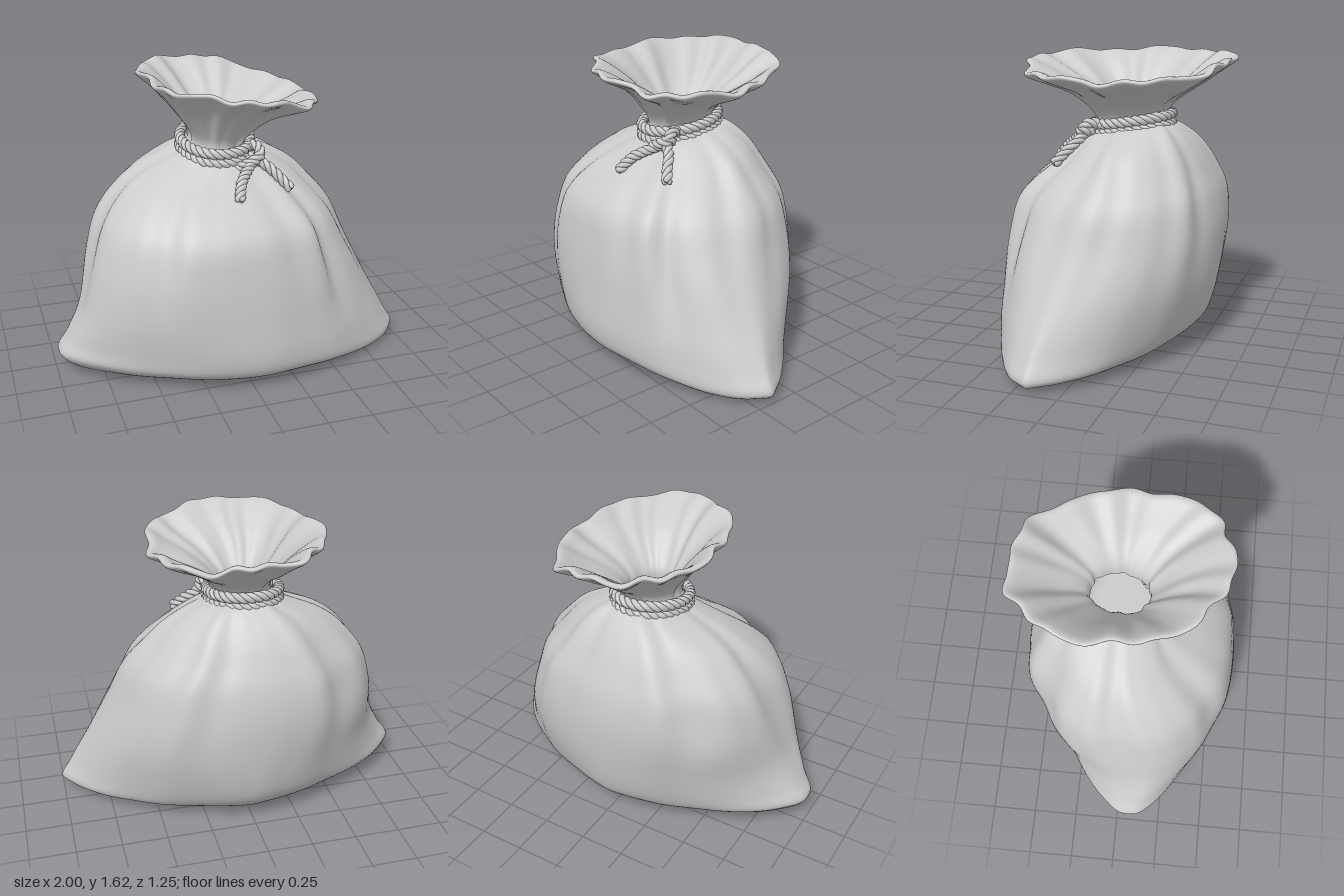
import * as THREE from 'three';

const { smoothstep, lerp } = THREE.MathUtils;
const material = new THREE.MeshStandardMaterial({ color: 0xcccccc, side: THREE.DoubleSide });
const ROUND = 144, ROWS_PER_LEVEL = 5;

// Extents of the cloth from the floor up to the lip: y, x-, x+, z-, z+
const outside = [
  [0.03, -0.01, 0.01, 0.09, 0.13],
  [0.028, -0.48, 0.48, -0.18, 0.36],
  [0.035, -0.86, 0.85, -0.34, 0.50],
  [0.09, -0.995, 0.995, -0.43, 0.595],
  [0.20, -0.94, 0.94, -0.51, 0.63],
  [0.40, -0.85, 0.82, -0.555, 0.62],
  [0.65, -0.78, 0.69, -0.57, 0.59],
  [0.85, -0.71, 0.60, -0.545, 0.54],
  [1.00, -0.60, 0.48, -0.485, 0.40],
  [1.10, -0.47, 0.38, -0.41, 0.28],
  [1.18, -0.28, 0.24, -0.32, 0.19],
  [1.225, -0.19, 0.13, -0.25, 0.14],
  [1.30, -0.19, 0.16, -0.28, 0.15],
  [1.42, -0.27, 0.28, -0.41, 0.26],
  [1.51, -0.35, 0.39, -0.53, 0.40],
  [1.565, -0.42, 0.46, -0.615, 0.505],
  [1.587, -0.42, 0.46, -0.615, 0.505],
];

// The lining runs back down to the neck, a cloth thickness inside
const lining = outside.slice(11, 16).reverse().map(([y, xMin, xMax, zMin, zMax]) =>
  [y + 0.015, xMin + 0.035, xMax - 0.035, zMin + 0.035, zMax - 0.035]);
const levels = [...outside, ...lining];

const bump = (t) => Math.exp(-t * t);

// Irregular pleats gathered around the cloth
function pleats(a, y) {
  return 0.55 * Math.sin(7 * a + 0.8 + y) + 0.45 * Math.sin(13 * a + 2.1 - 0.6 * y)
    + 0.3 * Math.sin(4 * a + 3 * y) + 0.2 * Math.sin(19 * a + 1.3);
}

function sackPoint([y, xMin, xMax, zMin, zMax], a) {
  const c = Math.cos(a), s = Math.sin(a), cx = (xMin + xMax) / 2;
  const low = 1 - smoothstep(y, 0.1, 0.45), mouth = smoothstep(y, 1.3, 1.57);
  // Pointed at the floor, squarer at the belly, round at the neck
  const n = 1.45 + 0.13 * smoothstep(y, 0.03, 0.1) + 0.7 * smoothstep(y, 0.1, 0.7)
    - 0.28 * smoothstep(y, 0.85, 1.1);
  const zEnd = lerp(0.12, -0.05, smoothstep(y, 0.2, 1.1));
  // A deep crease on the front left and one on the back right shoulder
  const crease = 0.06 * bump((a - 0.8) / 0.14) * smoothstep(y, 0.25, 0.6)
    + 0.05 * bump((a - 3.95) / 0.14) * smoothstep(y, 0.5, 0.85);
  const scale = 1 + (0.008 + 0.036 * smoothstep(y, 0.3, 1.1)) * pleats(a, y)
    - crease * (1 - smoothstep(y, 1.0, 1.2));
  const dx = ((c > 0 ? xMax : xMin) - cx) * Math.abs(c) ** (2 / n) * scale;
  const dz = ((s > 0 ? zMax : zMin) - zEnd) * Math.abs(s) ** (2 / n) * scale;
  // The mouth is skewed, and the bottom corners point apart
  const x = cx + dx + 0.1 * mouth * dz;
  const z = zEnd + dz + 0.05 * low * dx;
  // Sideways lean of the corners and the mouth, forward lean of the neck
  const tiltX = -0.035 * smoothstep(y, 0.03, 0.085) * low - 0.12 * mouth;
  const tiltZ = -0.15 * smoothstep(y, 0.95, 1.22) * (1 - smoothstep(y, 1.24, 1.48));
  // The mouth dips at its sides and waves; the floor sags near the front left corner
  const wave = mouth * (0.014 * pleats(a + 0.2, 2) - 0.03 * c * c);
  const sag = 0.028 * (1 - smoothstep(y, 0.05, 0.3)) * bump(Math.hypot(x - 0.72, z - 0.3) / 0.24);
  return [x, Math.max(0, y + tiltX * x + tiltZ * z + wave - sag), z];
}

function makeSack() {
  const spline = new THREE.CubicInterpolant(levels.map((_, i) => i), levels.flat(), 5);
  const rows = (levels.length - 1) * ROWS_PER_LEVEL;
  const positions = [], index = [];
  for (let i = 0; i <= rows; i++) {
    const level = Array.from(spline.evaluate(i / ROWS_PER_LEVEL));
    for (let j = 0; j < ROUND; j++) positions.push(...sackPoint(level, (j / ROUND) * Math.PI * 2));
  }
  for (let i = 0; i < rows; i++) {
    for (let j = 0; j < ROUND; j++) {
      const a = i * ROUND + j, b = i * ROUND + ((j + 1) % ROUND);
      index.push(a, a + ROUND, b, b, a + ROUND, b + ROUND);
    }
  }
  // Close the floor
  for (let j = 1; j < ROUND - 1; j++) index.push(0, j, j + 1);
  const geometry = new THREE.BufferGeometry();
  geometry.setAttribute('position', new THREE.Float32BufferAttribute(positions, 3));
  geometry.setIndex(index);
  geometry.computeVertexNormals();
  const mesh = new THREE.Mesh(geometry, material);
  mesh.name = 'sackCloth';
  return mesh;
}

// Three strands twisted around a path
function makeRope(name, points, closed = false) {
  const group = new THREE.Group();
  group.name = name;
  const path = new THREE.CatmullRomCurve3(points.map((p) => new THREE.Vector3(...p)), closed);
  const turns = Math.max(1, Math.round(path.getLength() / 0.12));
  const steps = turns * 12;
  const frames = path.computeFrenetFrames(steps, closed);
  for (let k = 0; k < 3; k++) {
    const strand = [];
    for (let i = 0; i < steps + (closed ? 0 : 1); i++) {
      const a = (i / steps) * turns * Math.PI * 2 + (k * Math.PI * 2) / 3;
      strand.push(path.getPointAt(i / steps)
        .addScaledVector(frames.normals[i], 0.015 * Math.cos(a))
        .addScaledVector(frames.binormals[i], 0.015 * Math.sin(a)));
    }
    const curve = new THREE.CatmullRomCurve3(strand, closed);
    const mesh = new THREE.Mesh(new THREE.TubeGeometry(curve, steps, 0.016, 7, closed), material);
    mesh.name = 'strand';
    group.add(mesh);
    // Rounded cut ends
    if (!closed) {
      for (const end of [strand[0], strand[strand.length - 1]]) {
        const tip = new THREE.Mesh(new THREE.SphereGeometry(0.016, 7, 5), material);
        tip.position.copy(end);
        tip.name = 'strandTip';
        group.add(tip);
      }
    }
  }
  return group;
}

// Closed loop of path points from a rule
const loop = (count, rule) => Array.from({ length: count }, (_, i) => rule((i / count) * Math.PI * 2));

export function createModel() {
  const model = new THREE.Group();
  model.name = 'tiedSack';
  model.add(makeSack());

  // Two coils around the neck, lower at the front
  for (const side of [-1, 1]) {
    model.add(makeRope(side < 0 ? 'lowerCoil' : 'upperCoil', loop(24, (a) => {
      const z = -0.055 + 0.222 * Math.sin(a);
      return [-0.035 + 0.193 * Math.cos(a), 1.225 - 0.15 * (z + 0.055) + side * 0.026, z];
    }), true));
  }

  // Knot: a loop over both coils and a slanted wrap in front of it
  model.add(makeRope('knotLoop', loop(12, (a) => [
    0.12 + 0.025 * Math.cos(a) + 0.02 * Math.sin(a), 1.19 + 0.05 * Math.sin(a), 0.125 + 0.05 * Math.cos(a),
  ]), true));
  model.add(makeRope('knotWrap', loop(12, (a) => [
    0.09 + 0.065 * Math.cos(a), 1.17 + 0.03 * Math.cos(a), 0.165 + 0.035 * Math.sin(a),
  ]), true));

  // Loose ends lying on the cloth
  model.add(makeRope('leftTail', [[0.1, 1.19, 0.15], [0.19, 1.135, 0.2], [0.24, 1.085, 0.245], [0.285, 1.035, 0.285]]));
  model.add(makeRope('rightTail', [[0.13, 1.18, 0.16], [0.06, 1.14, 0.235], [0.005, 1.095, 0.305], [-0.025, 1.03, 0.37]]));
  return model;
}
